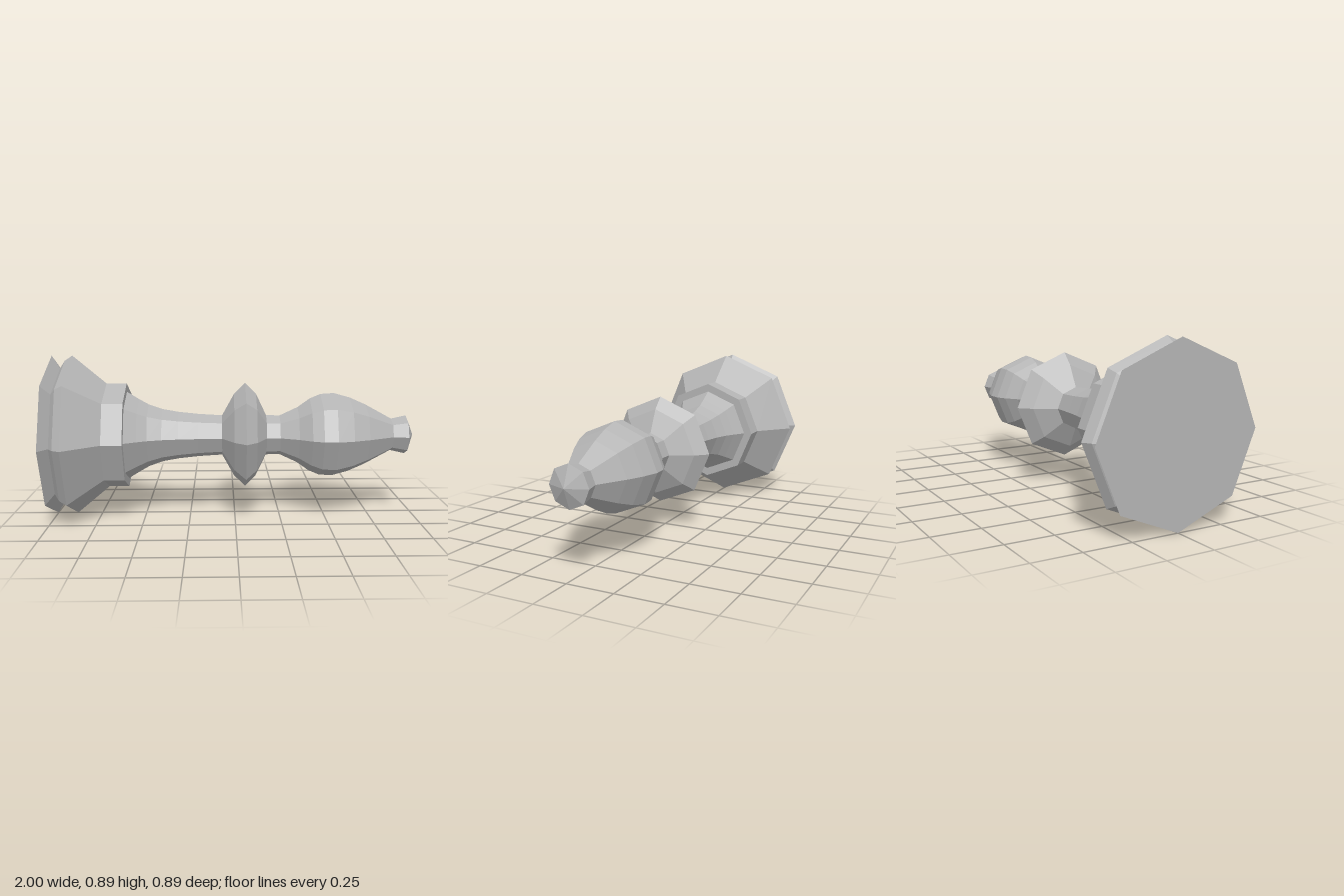
import * as THREE from 'three';

const AXIS_HEIGHT = 0.445;

export function createModel() {
  const group = new THREE.Group();
  group.name = 'turnedPiece';

  const grey = new THREE.MeshStandardMaterial({ color: 0xb4b4b4, flatShading: true });
  grey.name = 'grey';

  // Eight-sided turned part lying along x; profile is [x, radius] from base to tip
  function turned(name, profile) {
    const points = profile.map(([x, r]) => new THREE.Vector2(r, x));
    const geometry = new THREE.LatheGeometry(points, 8);
    geometry.rotateZ(-Math.PI / 2);
    const mesh = new THREE.Mesh(geometry, grey);
    mesh.name = name;
    mesh.position.y = AXIS_HEIGHT;
    group.add(mesh);
  }

  // Closed foot with a groove, sloping shoulder and collar
  turned('base', [
    [-1, 0], [-1, 0.445], [-0.957, 0.375], [-0.93, 0.417], [-0.888, 0.445],
    [-0.706, 0.292], [-0.595, 0.292], [-0.595, 0.245],
  ]);

  // Flared stem
  turned('stem', [
    [-0.595, 0.245], [-0.53, 0.205], [-0.477, 0.175], [-0.4, 0.148],
    [-0.31, 0.132], [-0.2, 0.12], [-0.07, 0.112],
  ]);

  // Ring around the middle
  turned('ring', [
    [-0.07, 0.112], [-0.005, 0.23], [0.058, 0.294], [0.118, 0.233], [0.175, 0.112],
  ]);

  // Swelling head
  turned('head', [
    [0.175, 0.112], [0.25, 0.11], [0.35, 0.157], [0.417, 0.205], [0.476, 0.23],
    [0.55, 0.235], [0.64, 0.21], [0.73, 0.17], [0.876, 0.09],
  ]);

  // Pointed finial
  turned('finial', [[0.876, 0.09], [0.957, 0.108], [1, 0]]);

  return group;
}
